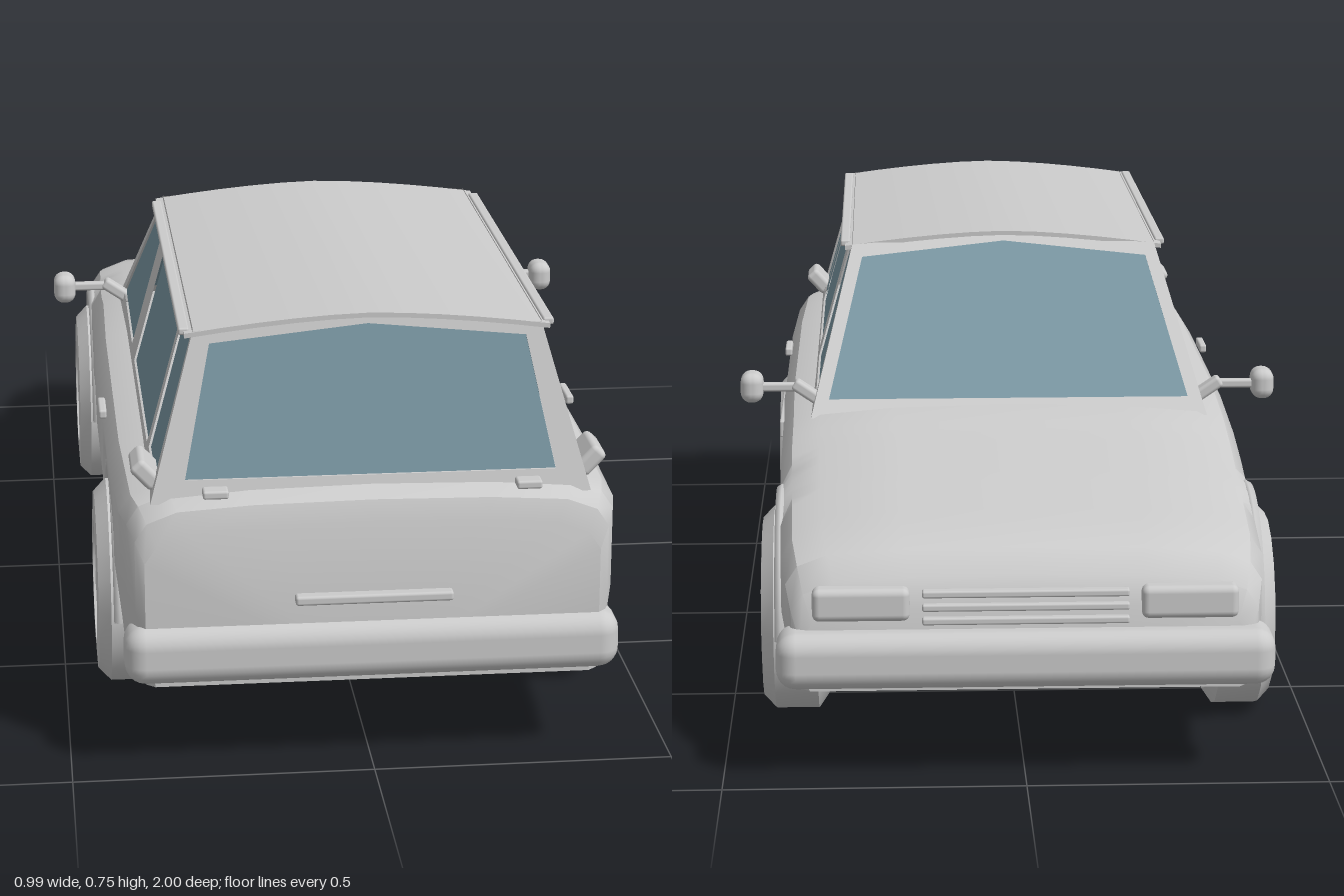
import * as THREE from 'three';
import { toCreasedNormals } from 'three/addons/utils/BufferGeometryUtils.js';
import { RoundedBoxGeometry } from 'three/addons/geometries/RoundedBoxGeometry.js';

const grey = new THREE.MeshStandardMaterial({ color: 0xcccccc });
const greyThin = new THREE.MeshStandardMaterial({ color: 0xcccccc, side: THREE.DoubleSide });
const glass = new THREE.MeshStandardMaterial({ color: 0x7a97a3, side: THREE.DoubleSide });

const WHEELS = [-0.55, 0.54], AXLE_Y = 0.18, ARCH = 0.2, FLOOR = 0.155;

// Body stations: z, half width, top height
const STATIONS = [
  [-0.955, 0.37, 0.3], [-0.935, 0.385, 0.345], [-0.89, 0.395, 0.38], [-0.8, 0.405, 0.4],
  [-0.6, 0.41, 0.43], [-0.4, 0.415, 0.458], [-0.27, 0.415, 0.48], [0, 0.42, 0.487],
  [0.6, 0.42, 0.487], [0.88, 0.412, 0.487], [0.93, 0.402, 0.485], [0.962, 0.39, 0.465], [0.975, 0.375, 0.43],
];

function add(parent, name, geometry, material = grey, x = 0, y = 0, z = 0) {
  const mesh = new THREE.Mesh(geometry, material);
  mesh.name = name;
  mesh.position.set(x, y, z);
  parent.add(mesh);
  return mesh;
}

function block(parent, name, w, h, d, x, y, z, r = 0.3) {
  return add(parent, name, new RoundedBoxGeometry(w, h, d, 3, Math.min(w, h, d) * r), grey, x, y, z);
}

function stationAt(z) {
  let i = 0;
  while (i < STATIONS.length - 2 && z > STATIONS[i + 1][0]) i++;
  const [a, b] = [STATIONS[i], STATIONS[i + 1]];
  const t = (z - a[0]) / (b[0] - a[0]);
  return [a[1] + (b[1] - a[1]) * t, a[2] + (b[2] - a[2]) * t];
}

// One closed cross-section; the lower side edge rises over each wheel
function section(z) {
  const [w, top] = stationAt(z);
  let a = FLOOR;
  for (const c of WHEELS) {
    const d = Math.abs(z - c);
    if (d <= ARCH + 1e-6) a = AXLE_Y + Math.sqrt(Math.max(0, ARCH * ARCH - d * d));
  }
  const sh = Math.max(top - 0.06, a + 0.01);
  const half = [
    [0, FLOOR], [0.31, FLOOR], [0.31, a], [w - 0.015, a], [w, a + (sh - a) * 0.5], [w, sh],
    [w - 0.02, Math.max(top - 0.03, sh + 0.004)], [w - 0.07, top - 0.011], [w * 0.5, top - 0.003], [0, top],
  ];
  const mirror = half.slice(1, -1).reverse().map(([x, y]) => [-x, y]);
  return [...half, ...mirror];
}

function bodyGeometry() {
  const zs = STATIONS.map((s) => s[0]);
  for (const c of WHEELS) {
    for (let i = 0; i <= 16; i++) zs.push(c - ARCH * Math.cos((Math.PI * i) / 16));
    zs.push(c - ARCH - 0.0005, c + ARCH + 0.0005);
  }
  zs.sort((a, b) => a - b);
  const pos = [], index = [];
  let n = 0;
  for (const z of zs) {
    const ring = section(z);
    n = ring.length;
    for (const [x, y] of ring) pos.push(x, y, z);
  }
  for (let i = 0; i < zs.length - 1; i++) {
    for (let j = 0; j < n; j++) {
      const k = (j + 1) % n, p = i * n, q = p + n;
      index.push(p + j, p + k, q + k, p + j, q + k, q + j);
    }
  }
  // end caps
  const last = (zs.length - 1) * n;
  for (let j = 1; j < n - 1; j++) index.push(0, j + 1, j, last, last + j, last + j + 1);
  const g = new THREE.BufferGeometry();
  g.setAttribute('position', new THREE.Float32BufferAttribute(pos, 3));
  g.setIndex(index);
  return toCreasedNormals(g, 0.6);
}

// Sloping planes of the cabin as functions of height
const sideX = (y) => 0.357 - (y - 0.48) * 0.28;
const screenZ = (y) => -0.275 + (y - 0.48) * 1.02;
const rearZ = (y) => 0.935 - (y - 0.48) * 0.25;

const toVecs = (pts) => pts.map(([a, b]) => new THREE.Vector2(a, b));

// A framed panel with glazed openings, drawn flat then laid on its slope
function glazedPanel(parent, name, outline, openings, place) {
  const lay = (shape, inset) => {
    const g = new THREE.ShapeGeometry(shape);
    const p = g.attributes.position;
    for (let i = 0; i < p.count; i++) p.setXYZ(i, ...place(p.getX(i), p.getY(i), inset));
    g.computeVertexNormals();
    return g;
  };
  const frame = new THREE.Shape(toVecs(outline));
  for (const o of openings) frame.holes.push(new THREE.Path(toVecs(o)));
  add(parent, name + 'Frame', lay(frame, 0), greyThin);
  openings.forEach((o) => add(parent, name + 'Glass', lay(new THREE.Shape(toVecs(o)), 0.004), glass));
}

function buildCabin(car) {
  const cabin = new THREE.Group();
  cabin.name = 'cabin';
  car.add(cabin);
  const sideOutline = [[screenZ(0.46), 0.46], [rearZ(0.46), 0.46], [rearZ(0.735), 0.735], [screenZ(0.735), 0.735]];
  const sideWindows = [
    [[-0.225, 0.49], [0.125, 0.487], [0.125, 0.705], [0.11, 0.718], [-0.02, 0.712]],
    [[0.225, 0.485], [0.69, 0.485], [0.7, 0.5], [0.685, 0.715], [0.24, 0.72], [0.225, 0.705]],
    [[0.735, 0.49], [0.905, 0.49], [0.862, 0.718], [0.71, 0.718]],
  ];
  for (const s of [1, -1]) {
    glazedPanel(cabin, s > 0 ? 'leftSide' : 'rightSide', sideOutline, sideWindows,
      (z, y, inset) => [s * (sideX(y) - inset), y, z]);
  }
  const endOutline = [[-sideX(0.46), 0.46], [sideX(0.46), 0.46], [sideX(0.732), 0.732], [0, 0.752], [-sideX(0.732), 0.732]];
  const pane = (b, t, y0) => [[-b, y0], [b, y0], [t, 0.712], [0, 0.737], [-t, 0.712]];
  glazedPanel(cabin, 'windscreen', endOutline, [pane(0.33, 0.268, 0.488)], (x, y, inset) => [x, y, screenZ(y) + inset]);
  glazedPanel(cabin, 'rearWindow', endOutline, [pane(0.305, 0.26, 0.497)], (x, y, inset) => [x, y, rearZ(y) - inset]);

  // crowned roof sheet with thin gutters
  const crown = [];
  for (let i = 0; i <= 10; i++) {
    const x = 0.3 - 0.06 * i;
    crown.push([x, 0.756 - 0.027 * Math.pow(Math.abs(x) / 0.3, 1.6)]);
  }
  const under = crown.map(([x, y]) => [x, y - 0.008]).reverse();
  const roof = new THREE.ExtrudeGeometry(new THREE.Shape(toVecs([...crown, ...under])), { depth: 0.89, bevelEnabled: false });
  add(cabin, 'roof', toCreasedNormals(roof, 0.6), grey, 0, 0, -0.015);
  for (const s of [1, -1]) block(cabin, 'roofGutter', 0.018, 0.012, 0.84, s * 0.3, 0.728, 0.44);
}

function buildWheel(car, side, z) {
  const wheel = new THREE.Group();
  wheel.name = (z < 0 ? 'front' : 'rear') + 'Wheel';
  wheel.position.set(side * 0.387, AXLE_Y, z);
  if (side < 0) wheel.rotation.y = Math.PI;
  car.add(wheel);
  const lathe = (name, pts, sides) => {
    const g = toCreasedNormals(new THREE.LatheGeometry(toVecs(pts), sides), 0.5);
    add(wheel, name, g, greyThin).rotation.z = -Math.PI / 2;
  };
  lathe('tyre', [[0.115, -0.05], [0.155, -0.057], [0.18, -0.04], [0.18, 0.035], [0.158, 0.056], [0.12, 0.058]], 18);
  lathe('rim', [[0.12, 0.058], [0.108, 0.058], [0.1, 0.03], [0.1, 0.02], [0, 0.02]], 24);
  lathe('rimBack', [[0, -0.03], [0.1, -0.03], [0.115, -0.05]], 24);
  for (let i = 0; i < 5; i++) {
    const spoke = new THREE.BoxGeometry(0.018, 0.085, 0.022);
    spoke.translate(0.035, 0.062, 0);
    add(wheel, 'spoke', spoke).rotation.x = (i * Math.PI * 2) / 5;
  }
  lathe('hub', [[0.028, 0.015], [0.028, 0.05], [0.02, 0.056], [0, 0.056]], 14);
}

export function createModel() {
  const car = new THREE.Group();
  car.name = 'estateCar';
  add(car, 'body', bodyGeometry());
  buildCabin(car);

  // bumpers
  block(car, 'rearBumper', 0.82, 0.1, 0.1, 0, 0.21, 0.949, 0.35);
  block(car, 'frontBumper', 0.82, 0.095, 0.11, 0, 0.212, -0.944, 0.35);

  // nose and tail details
  for (let i = 0; i < 3; i++) block(car, 'grilleSlat', 0.34, 0.012, 0.02, 0, 0.275 + i * 0.022, -0.957 + i * 0.003);
  block(car, 'tailgateHandle', 0.26, 0.016, 0.024, 0, 0.303, 0.982);

  for (const s of [1, -1]) {
    block(car, 'headlight', 0.16, 0.055, 0.04, s * 0.27, 0.302, -0.945);
    const lamp = block(car, 'tailLamp', 0.03, 0.052, 0.09, s * 0.367, 0.5, 0.868);
    lamp.rotation.z = -s * 0.75;
    block(car, 'tailgateHinge', 0.042, 0.014, 0.03, s * 0.257, 0.481, 0.95);
    block(car, 'doorHandle', 0.014, 0.016, 0.08, s * 0.421, 0.447, 0.385);

    // wing mirror on its stalk
    const mirror = new THREE.Group();
    mirror.name = 'wingMirror';
    block(mirror, 'mirrorHead', 0.042, 0.056, 0.06, s * 0.472, 0.503, -0.215, 0.45);
    block(mirror, 'mirrorStalk', 0.09, 0.016, 0.018, s * 0.42, 0.503, -0.22);
    const foot = block(mirror, 'mirrorFoot', 0.06, 0.022, 0.03, s * 0.37, 0.493, -0.22);
    foot.rotation.z = s * 0.6;
    car.add(mirror);

    for (const z of WHEELS) {
      buildWheel(car, s, z);
      // raised lip around the wheel opening
      const lip = new THREE.TorusGeometry(ARCH + 0.006, 0.011, 6, 24, Math.PI);
      lip.rotateY(Math.PI / 2);
      add(car, 'archLip', lip, grey, s * 0.409, AXLE_Y, z);
    }
  }
  // door trim strip on the left side
  block(car, 'doorTrim', 0.012, 0.032, 0.31, 0.418, 0.41, -0.015);
  return car;
}
